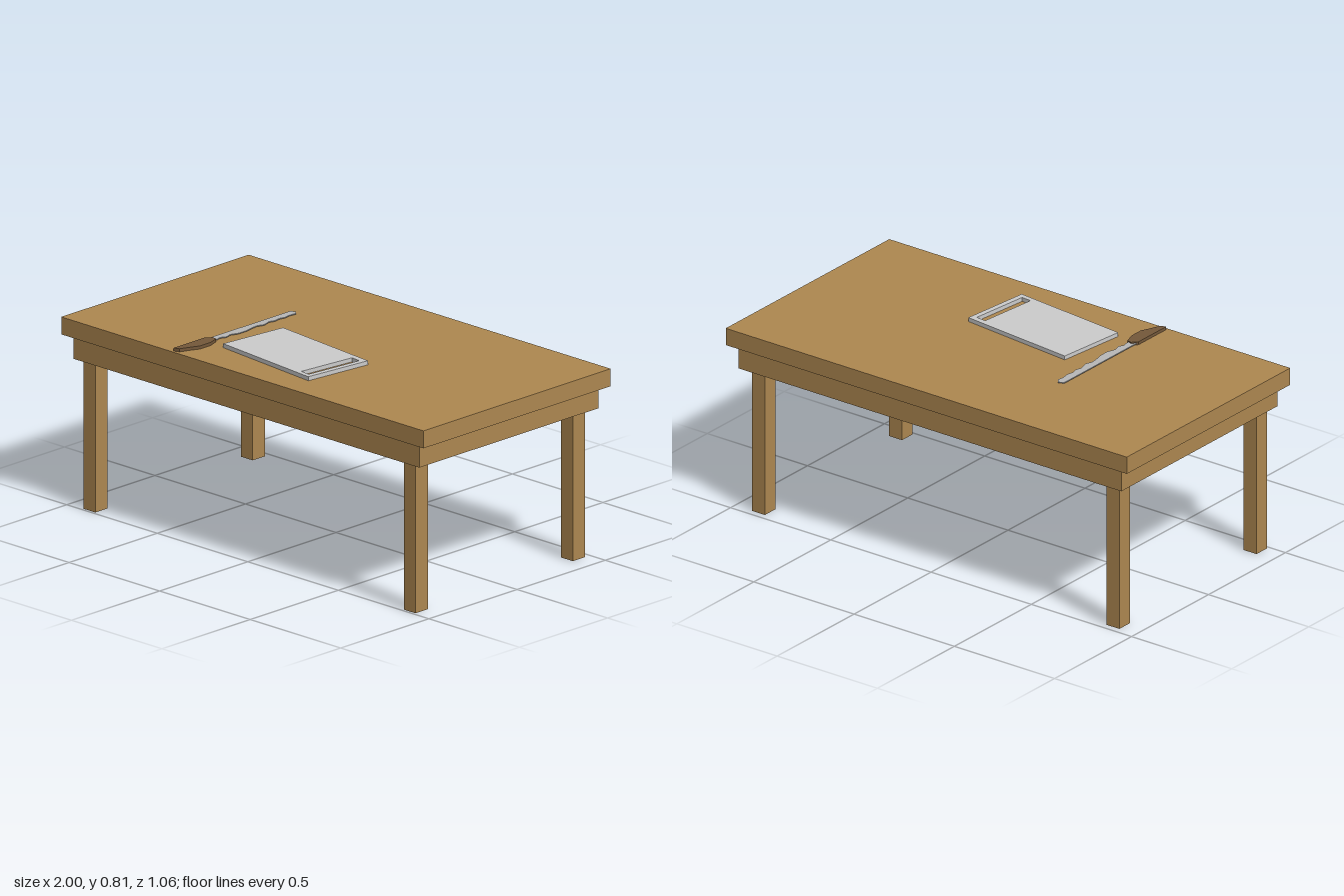
import * as THREE from 'three';

const mat = (color) => new THREE.MeshStandardMaterial({ color, flatShading: true });

export function createModel() {
  const root = new THREE.Group();
  const wood = mat(0xad8750), darkWood = mat(0x74583a), grey = mat(0xcccccc), steel = mat(0xb8b8b8);

  const add = (name, geometry, material, x = 0, y = 0, z = 0) => {
    const mesh = new THREE.Mesh(geometry, material);
    mesh.name = name;
    mesh.position.set(x, y, z);
    root.add(mesh);
    return mesh;
  };
  const toShape = (pts) => new THREE.Shape(pts.map(([x, z]) => new THREE.Vector2(x, z)));
  const rect = (w, d, cx = 0, cz = 0) => [
    [cx - w / 2, cz - d / 2], [cx + w / 2, cz - d / 2],
    [cx + w / 2, cz + d / 2], [cx - w / 2, cz + d / 2],
  ];
  // Flat plate: outline in x/z, extending downwards from its local y = 0
  const plate = (outline, thickness, hole) => {
    const shape = toShape(outline);
    if (hole) shape.holes.push(toShape(hole));
    return new THREE.ExtrudeGeometry(shape, { depth: thickness, bevelEnabled: false }).rotateX(Math.PI / 2);
  };

  // Table top and the open frame below it
  add('tableTop', new THREE.BoxGeometry(2, 0.073, 1.062), wood, 0, 0.7565, 0);
  add('apron', plate(rect(1.91, 1.016), 0.097, rect(1.84, 0.946)), wood, 0, 0.72, 0);

  // Four legs
  for (const x of [-0.885, 0.883]) {
    for (const z of [0.454, -0.437]) {
      add('leg', new THREE.BoxGeometry(0.065, 0.624, 0.069), wood, x, 0.312, z);
    }
  }

  // Cutting board with a slot as its grip
  const board = add('cuttingBoard',
    plate(rect(0.527, 0.307), 0.017, rect(0.045, 0.26, 0.218, 0.002)), grey, 0, 0.81, 0.229);
  board.rotation.y = -0.106;

  // Knife: thin blade with a wavy cutting edge, and a curved handle
  const blade = [
    [-0.385, 0.36], [-0.385, -0.135], [-0.364, -0.148], [-0.348, -0.13], [-0.352, -0.1],
    [-0.347, -0.065], [-0.353, -0.04], [-0.347, -0.01], [-0.355, 0.015], [-0.343, 0.055],
    [-0.354, 0.085], [-0.35, 0.12], [-0.342, 0.16], [-0.342, 0.2], [-0.355, 0.235],
    [-0.346, 0.265], [-0.358, 0.29], [-0.352, 0.31], [-0.36, 0.36],
  ];
  add('knifeBlade', plate(blade, 0.004), steel, 0, 0.801, 0);
  const handle = [
    [-0.39, 0.34], [-0.37, 0.318], [-0.348, 0.323], [-0.332, 0.37],
    [-0.332, 0.43], [-0.348, 0.465], [-0.366, 0.512], [-0.39, 0.52],
  ];
  add('knifeHandle', plate(handle, 0.013), darkWood, 0, 0.806, 0);

  return root;
}
